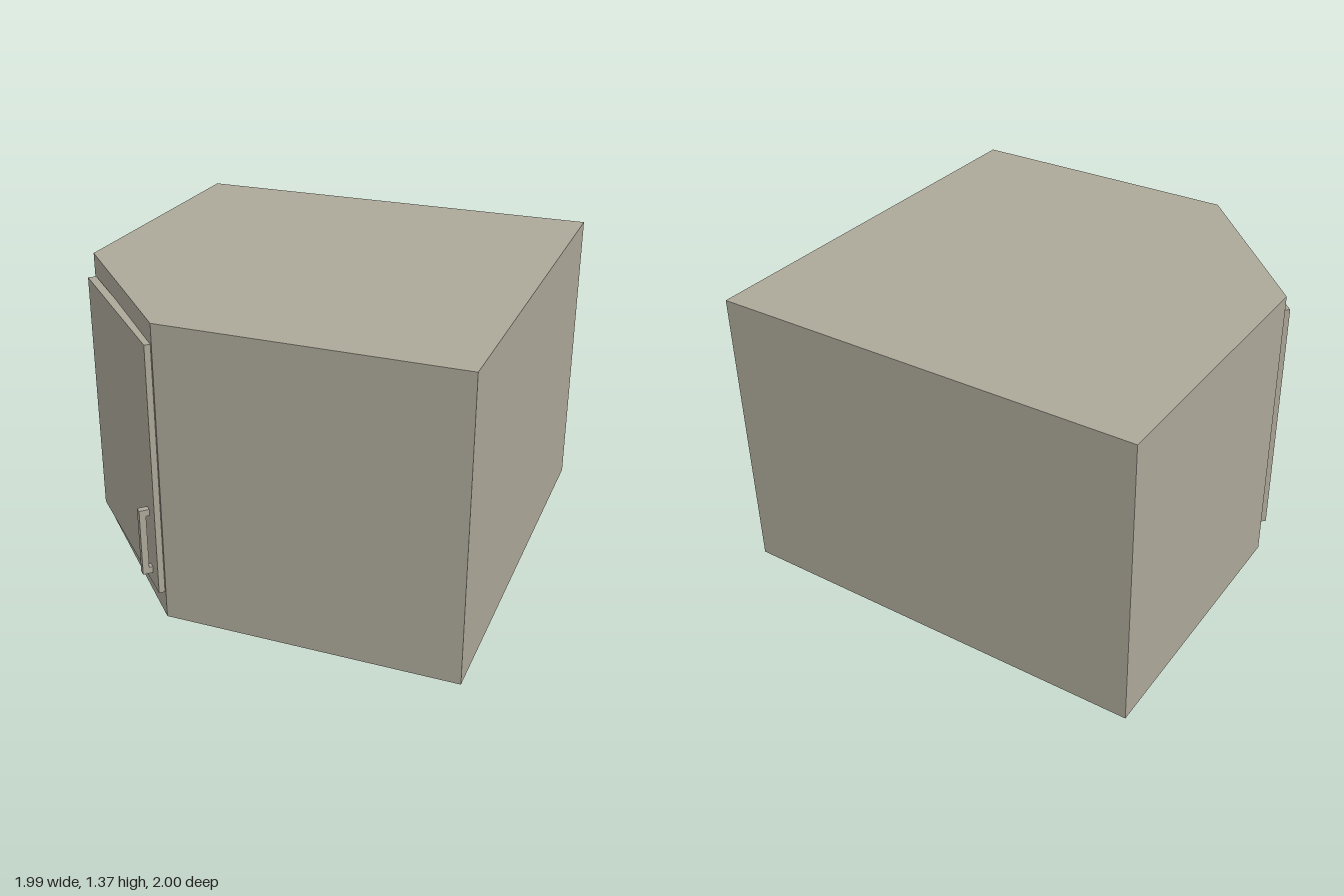
import * as THREE from 'three';

const HEIGHT = 1.37;

// Extruded polygon from [x, y] points
function extrude(points, depth) {
  const shape = new THREE.Shape(points.map(([x, y]) => new THREE.Vector2(x, y)));
  return new THREE.ExtrudeGeometry(shape, { depth, bevelEnabled: false });
}

export function createModel() {
  const model = new THREE.Group();
  model.name = 'cornerCabinet';
  const paint = new THREE.MeshStandardMaterial({ color: 0xaca899 });
  paint.name = 'warm grey paint';

  const add = (parent, name, geometry) => {
    const mesh = new THREE.Mesh(geometry, paint);
    mesh.name = name;
    parent.add(mesh);
    return mesh;
  };

  // Cabinet body: square plan (x, z) with one corner cut off
  const plan = [[-0.995, -1], [-0.995, 0.30], [-0.333, 0.99], [0.993, 0.99], [0.993, -1]];
  add(model, 'cabinetBody', extrude(plan.map(([x, z]) => [x, -z]), HEIGHT).rotateX(-Math.PI / 2));

  // Door assembly faces diagonally out of the cut corner; local z = 0 is the door's back
  const doorGroup = new THREE.Group();
  doorGroup.name = 'doorAssembly';
  doorGroup.position.set(-0.651, 0, 0.655);
  doorGroup.rotation.y = -Math.PI / 4;
  model.add(doorGroup);

  const thickness = 0.038, bottom = 0.115, top = 1.275;
  add(doorGroup, 'door', new THREE.BoxGeometry(0.89, top - bottom, thickness))
    .position.set(0, (top + bottom) / 2, thickness / 2);

  // C-shaped pull handle: grip bar with a short post at each end
  const reach = 0.045, gap = 0.016, post = 0.03, low = 0.175, high = 0.49, width = 0.031;
  const side = [
    [0, low], [reach, low], [reach, high], [0, high],
    [0, high - post], [gap, high - post], [gap, low + post], [0, low + post],
  ];
  add(doorGroup, 'doorHandle', extrude(side, width).rotateY(-Math.PI / 2))
    .position.set(0.352 + width / 2, 0, thickness);

  return model;
}
